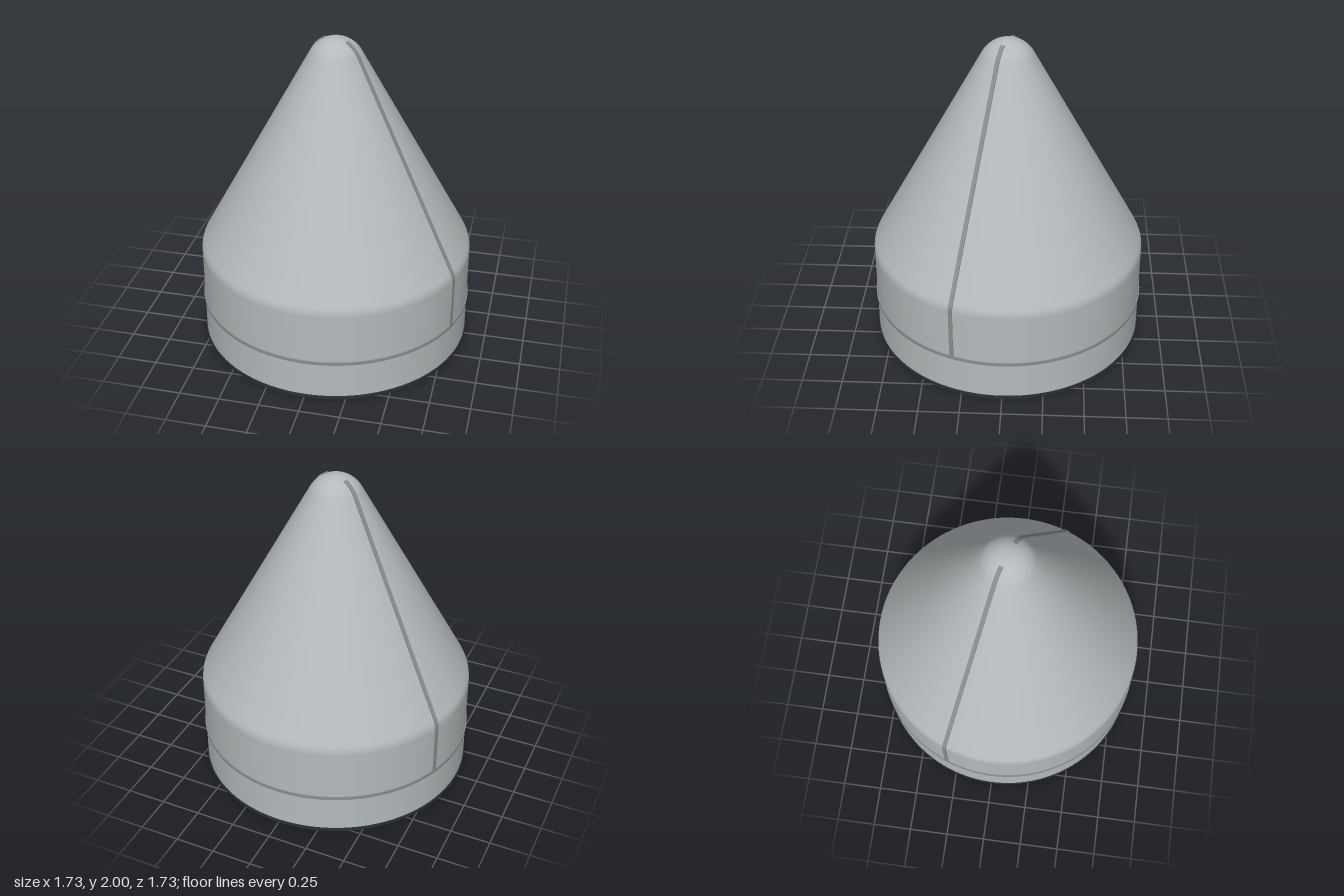
import * as THREE from 'three';
import { toCreasedNormals } from 'three/addons/utils/BufferGeometryUtils.js';

const SEG = 96;
const SEAM = THREE.MathUtils.degToRad(20.8); // seam direction, from +x toward +z

const mat = (name, color, side = THREE.FrontSide) => {
  const m = new THREE.MeshStandardMaterial({ color, side });
  m.name = name;
  return m;
};

const v2 = (list) => list.map(([x, y]) => new THREE.Vector2(x, y));

// Ring of rectangular section between two radii and two heights
function ring(name, rIn, rOut, y0, y1, material) {
  const pts = v2([[rOut, y0], [rOut, y1], [rIn, y1], [rIn, y0], [rOut, y0]]);
  const geo = toCreasedNormals(new THREE.LatheGeometry(pts, SEG), 0.6);
  const mesh = new THREE.Mesh(geo, material);
  mesh.name = name;
  return mesh;
}

// Outer profile of shoulder, cone and rounded tip
function noseProfile(tipRadius, endAngle) {
  const pts = [[0.86, 0.605], [0.858, 0.625], [0.853, 0.64], [0.845, 0.658]];
  const start = THREE.MathUtils.degToRad(28.7);
  for (let i = 0; i <= 12; i++) {
    const a = start + (endAngle - start) * i / 12;
    pts.push([Math.max(0, tipRadius * Math.cos(a)), 2 - tipRadius + tipRadius * Math.sin(a)]);
  }
  return pts;
}

export function createModel() {
  const model = new THREE.Group();
  model.name = 'noseFairing';
  const shell = mat('shellGrey', 0xb4babc, THREE.DoubleSide);
  const trim = mat('trimGrey', 0x878d8f);
  const dark = mat('darkSeal', 0x2b3034);
  const add = (name, geo, material, parent = model) => {
    const mesh = new THREE.Mesh(geo, material);
    mesh.name = name;
    parent.add(mesh);
    return mesh;
  };

  // Shell: cylinder wall and smooth nose
  add('cylinderWall', new THREE.LatheGeometry(v2([[0.86, 0.01], [0.86, 0.605]]), SEG), shell);
  add('nose', new THREE.LatheGeometry(v2(noseProfile(0.18, Math.PI / 2)), SEG), shell);

  // Base seal and separation band
  model.add(ring('baseSeal', 0.848, 0.866, 0, 0.02, dark));
  model.add(ring('separationBand', 0.855, 0.867, 0.255, 0.275, trim));

  // Conical bulkhead underneath, with an open centre
  add('bulkhead', new THREE.LatheGeometry(v2([[0.31, 0.005], [0.859, 0.238]]), SEG), shell);
  model.add(ring('bulkheadLip', 0.3, 0.318, 0, 0.018, trim));

  // Two opposite seam rails following the profile
  const line = [[0.86, 0.265], ...noseProfile(0.18, THREE.MathUtils.degToRad(65))];
  const offset = (d) => line.map(([x, y], i) => {
    const a = line[Math.max(0, i - 1)], b = line[Math.min(line.length - 1, i + 1)];
    const len = Math.hypot(b[0] - a[0], b[1] - a[1]);
    return [x + d * (b[1] - a[1]) / len, y - d * (b[0] - a[0]) / len];
  });
  const section = new THREE.Shape(v2([...offset(0.006), ...offset(-0.006).reverse()]));
  const railGeo = new THREE.ExtrudeGeometry(section, { depth: 0.026, bevelEnabled: false });
  railGeo.translate(0, 0, -0.013);
  for (const side of [0, 1]) {
    const rail = add(side ? 'rightSeamRail' : 'leftSeamRail', railGeo, trim);
    rail.rotation.y = -SEAM + side * Math.PI;
  }

  // Thin access panel beside the left rail (cylinder angle runs from +z toward +x)
  const a0 = THREE.MathUtils.degToRad(90 - 23.5), a1 = THREE.MathUtils.degToRad(90 - 10.5);
  const panel = new THREE.CylinderGeometry(0.8625, 0.8625, 0.2, 16, 1, true, a0, a1 - a0);
  add('accessPanel', panel, shell).position.y = 0.51;

  // Upright stiffener on the inner wall
  const rib = add('innerStiffener', new THREE.BoxGeometry(0.012, 0.33, 0.045), trim);
  rib.position.set(-0.69, 0.44, 0.49);
  rib.rotation.y = Math.atan2(0.49, 0.69);

  return model;
}
